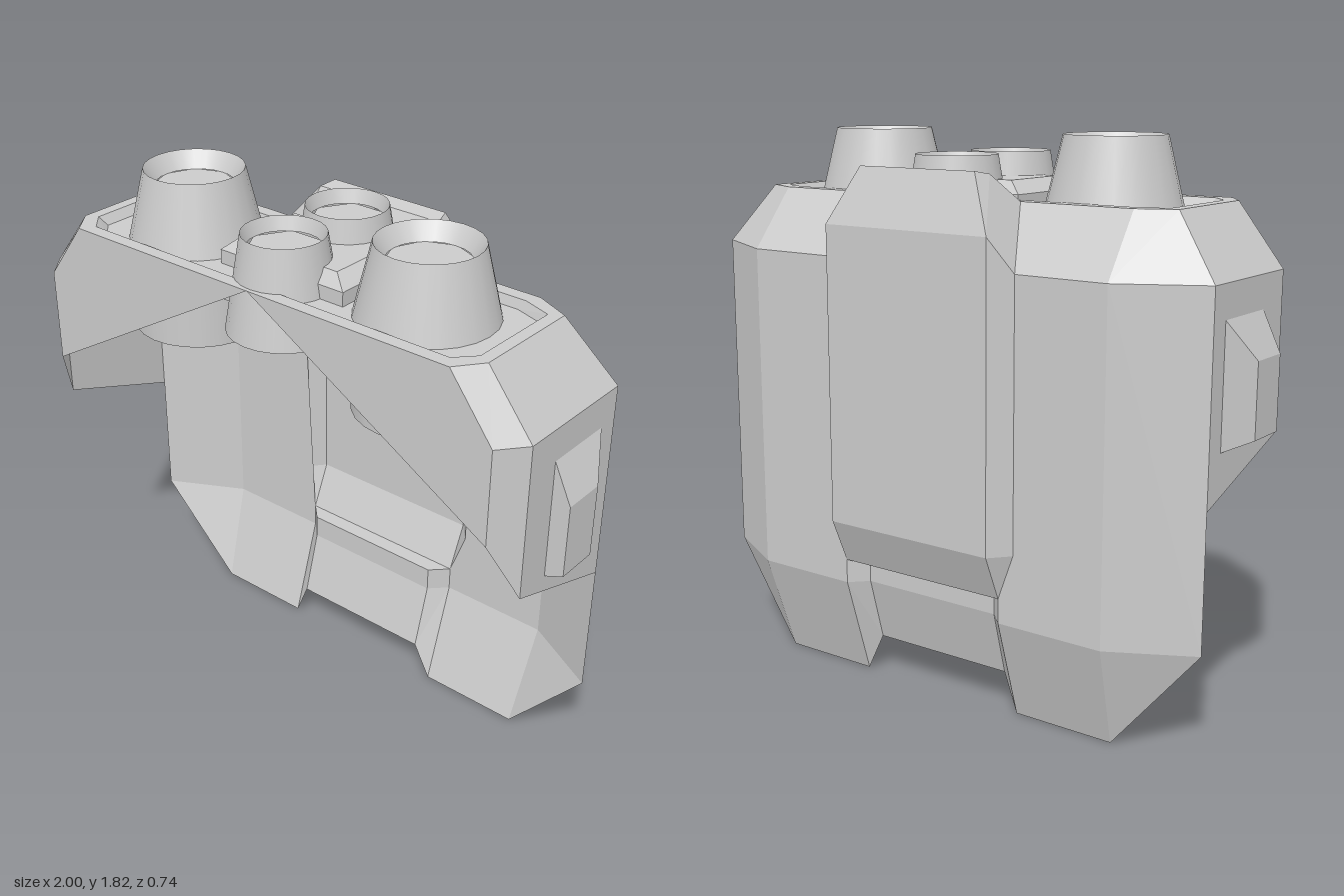
import * as THREE from 'three';

const mat = new THREE.MeshStandardMaterial({ color: 0xcccccc, flatShading: true, side: THREE.DoubleSide });
const smooth = new THREE.MeshStandardMaterial({ color: 0xcccccc, side: THREE.DoubleSide });

// Builds flat polygons given for the +x half, mirrored to -x; 'spans' cross the centre line.
function plates(name, half, spans = []) {
  const v = [];
  const fan = p => { for (let i = 1; i < p.length - 1; i++) v.push(...p[0], ...p[i], ...p[i + 1]); };
  const flip = p => [-p[0], p[1], p[2]];
  for (const p of half) { fan(p); fan(p.map(flip).reverse()); }
  // a span is a pair of points on the +x side: a quad reaching to their mirror images
  for (const [a, b] of spans) fan([a, b, flip(b), flip(a)]);
  const g = new THREE.BufferGeometry();
  g.setAttribute('position', new THREE.Float32BufferAttribute(v, 3));
  g.computeVertexNormals();
  const m = new THREE.Mesh(g, mat);
  m.name = name;
  return m;
}

// Tapered nozzle with a shallow cup in its mouth
function nozzle(name, x, z, profile, cupR, cupY, cupSides) {
  const grp = new THREE.Group();
  grp.name = name;
  const [rTop, yTop] = profile[profile.length - 1];
  for (let i = 0; i < profile.length - 1; i++) {
    const [r0, y0] = profile[i], [r1, y1] = profile[i + 1];
    const wall = new THREE.Mesh(new THREE.CylinderGeometry(r1, r0, y1 - y0, 24, 1, true), smooth);
    wall.position.y = (y0 + y1) / 2;
    grp.add(wall);
  }
  const cup = new THREE.Mesh(new THREE.CylinderGeometry(rTop, cupR, yTop - cupY, 24, 1, true), smooth);
  cup.position.y = (yTop + cupY) / 2;
  const floor = new THREE.Mesh(new THREE.CircleGeometry(cupR + 0.005, cupSides), mat);
  floor.rotation.x = -Math.PI / 2;
  floor.position.y = cupY;
  const base = new THREE.Mesh(new THREE.CircleGeometry(profile[0][0], 24), mat);
  base.rotation.x = Math.PI / 2;
  base.position.y = profile[0][1];
  grp.add(cup, floor, base);
  grp.position.set(x, 0, z);
  return grp;
}

export function createModel() {
  const g = new THREE.Group();
  g.name = 'backpack';

  // Outline corners of the shell, shoulder (y 1.43) and top edge (y 1.625)
  const S = [[0.87, 1.43, 0.355], [0.94, 1.43, 0.27], [0.94, 1.43, -0.165], [0.68, 1.43, -0.305], [0.365, 1.43, -0.305]];
  const T = [[0.72, 1.625, 0.355], [0.785, 1.625, 0.27], [0.785, 1.625, -0.1], [0.67, 1.625, -0.155], [0.28, 1.625, -0.155]];
  const bevel = [];
  for (let i = 0; i < 4; i++) bevel.push([S[i], S[i + 1], T[i + 1], T[i]]);
  g.add(plates('shoulderBevel', bevel));

  // Back wall, folded forward at its lower end
  const side = [0.94, 0.34, -0.165], fold = [0.68, 0.34, -0.305], foot = [0.66, 0, -0.2];
  g.add(plates('backWall', [
    [S[2], side, fold, S[3]],
    [side, foot, fold],
    [S[3], fold, [0.31, 0.34, -0.305], [0.31, 0.42, -0.305], [0.365, 0.57, -0.305], S[4]],
    [fold, foot, [0.31, 0, -0.2], [0.31, 0.34, -0.305]],
  ]));

  // Side walls, and front apron cut to an inverted V
  const fBot = [0.87, 1.12, 0.355], cBot = [0.94, 0.93, 0.27];
  g.add(plates('sideWall', [
    [S[1], cBot, [0.94, 0.78, -0.165], S[2]],
    [S[0], fBot, cBot, S[1]],
  ]));
  g.add(plates('frontApron', [[[0, 1.625, 0.355], fBot, S[0], T[0]]]));

  // Rim around the sunken top deck
  const R = [[0.69, 1.625, 0.31], [0.745, 1.625, 0.25], [0.745, 1.625, -0.075], [0.65, 1.625, -0.11], [0.25, 1.625, -0.11]];
  const D = R.map(([x, , z]) => [x - 0.02, 1.595, z * 0.92]);
  const rim = [[[0, 1.625, 0.355], T[0], R[0], [0, 1.625, 0.31]], [[0, 1.625, 0.31], R[0], D[0], [0, 1.595, 0.285]]];
  for (let i = 0; i < 4; i++) rim.push([T[i], T[i + 1], R[i + 1], R[i]], [R[i], R[i + 1], D[i + 1], D[i]]);
  g.add(plates('topRim', rim));
  g.add(plates('topDeck', [[[0, 1.595, 0.285], ...D, [0, 1.595, -0.1]]]));

  // Raised hollow panel down the middle of the back
  const pTop = [0.22, 1.72, -0.305], pHi = [0.31, 1.54, -0.37], pLo = [0.31, 0.57, -0.37], pEnd = [0.31, 0.42, -0.305];
  const lip = [0.235, 1.71, -0.25], lipLow = [0.25, 1.6, -0.185], sLo = [0.365, 0.57, -0.305];
  g.add(plates('backPanel', [
    [S[4], sLo, pLo, pHi],
    [sLo, pEnd, pLo],
    [S[4], pHi, pTop, lip],
    [S[4], lip, lipLow, T[4]],
    [T[4], lipLow, R[4]],
  ], [[pTop, pHi], [pHi, pLo], [pLo, pEnd], [lip, pTop], [lipLow, lip], [R[4], lipLow]]));

  // Recessed strip below the panel
  const a = [0.255, 0.42, -0.25], b = [0.255, 0.34, -0.25], c = [0.255, 0.125, -0.19];
  g.add(plates('lowerStrip', [
    [[0.31, 0.42, -0.305], [0.31, 0.34, -0.305], b, a],
    [[0.31, 0.34, -0.305], [0.31, 0, -0.2], c, b],
  ], [[pEnd, a], [a, b], [b, c]]));

  // Wedge pods on the side walls
  const o = [[1, 1.2, 0.145], [1, 0.965, 0.145], [1, 0.965, 0], [1, 1.2, 0]];
  const w = [[0.94, 1.325, 0.145], [0.94, 0.94, 0.145], [0.94, 0.94, -0.095], [0.94, 1.325, -0.095]];
  const pod = [o];
  for (let i = 0; i < 4; i++) pod.push([o[i], w[i], w[(i + 1) % 4], o[(i + 1) % 4]]);
  g.add(plates('sidePod', pod));

  // Block carrying the two middle nozzles, with a bevelled cap
  const block = new THREE.Mesh(new THREE.BoxGeometry(0.48, 0.165, 0.32), mat);
  block.name = 'nozzleBlock';
  block.position.set(0, 1.5575, 0.05);
  g.add(block);
  const cap = new THREE.CylinderGeometry(0.8, 1, 1, 4, 1).toNonIndexed();
  cap.rotateY(Math.PI / 4).scale(0.48 / Math.SQRT2, 0.04, 0.32 / Math.SQRT2);
  const capMesh = new THREE.Mesh(cap, mat);
  capMesh.name = 'blockCap';
  capMesh.position.set(0, 1.66, 0.05);
  g.add(capMesh);

  // Nozzles: a large pair, and two small ones in line
  for (const s of [1, -1])
    g.add(nozzle(s > 0 ? 'leftNozzle' : 'rightNozzle', s * 0.455, 0.095,
      [[0.215, 1.3], [0.215, 1.595], [0.16, 1.82]], 0.125, 1.765, 8));
  for (const [name, z] of [['frontNozzle', 0.19], ['rearNozzle', -0.1]])
    g.add(nozzle(name, 0, z, [[0.182, 1.45], [0.13, 1.755]], 0.115, 1.71, 6));

  return g;
}
